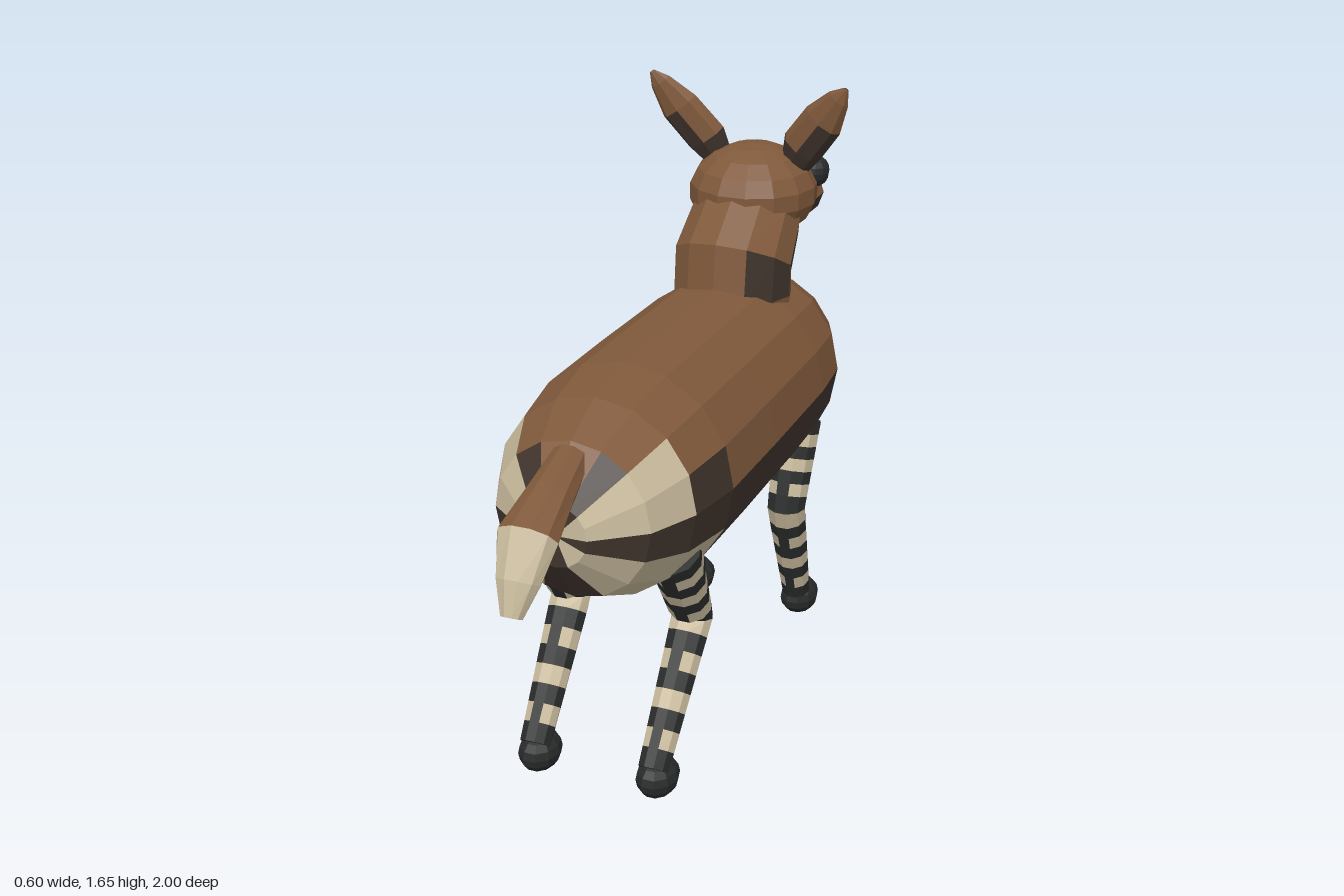
import * as THREE from 'three';

const mat = (name, color) => {
  const m = new THREE.MeshStandardMaterial({ color });
  m.name = name;
  return m;
};

export function createModel() {
  const model = new THREE.Group();
  const mats = [mat('brown', 0x80593b), mat('darkBrown', 0x40342d), mat('cream', 0xc9bb9d), mat('black', 0x2a2b2b)];
  const BROWN = 0, DARK = 1, CREAM = 2, BLACK = 3;

  // Faceted tube through rings [x, y, z, sideRadius, otherRadius]; pick(ring, sector) gives the colour.
  function loft(name, rings, sides, pick, side = [1, 0, 0], axis = null) {
    const centres = rings.map(r => new THREE.Vector3(r[0], r[1], r[2]));
    const pts = rings.map((r, i) => {
      const t = axis ? new THREE.Vector3(...axis)
        : centres[Math.min(i + 1, rings.length - 1)].clone().sub(centres[Math.max(i - 1, 0)]);
      t.normalize();
      const a = new THREE.Vector3(...side);
      a.addScaledVector(t, -a.dot(t)).normalize();
      const b = t.clone().cross(a);
      return Array.from({ length: sides }, (_, j) => {
        const q = j / sides * Math.PI * 2;
        return centres[i].clone().addScaledVector(a, r[3] * Math.cos(q)).addScaledVector(b, (r[4] ?? r[3]) * Math.sin(q));
      });
    });
    const buckets = mats.map(() => []);
    const last = rings.length - 1;
    for (let j = 0; j < sides; j++) {
      const k = (j + 1) % sides;
      for (let i = 0; i < last; i++) {
        const [A, B, C, D] = [pts[i][j], pts[i][k], pts[i + 1][k], pts[i + 1][j]];
        buckets[pick(i, j)].push(A, B, C, A, C, D);
      }
      buckets[pick(0, j)].push(centres[0], pts[0][k], pts[0][j]);
      buckets[pick(last - 1, j)].push(centres[last], pts[last][j], pts[last][k]);
    }
    const geo = new THREE.BufferGeometry().setFromPoints(buckets.flat());
    let start = 0;
    buckets.forEach((b, m) => {
      if (b.length) geo.addGroup(start, b.length, m);
      start += b.length;
    });
    geo.computeVertexNormals();
    const mesh = new THREE.Mesh(geo, mats);
    mesh.name = name;
    model.add(mesh);
  }

  function ball(name, pos, size, colour, w = 12, h = 8) {
    const geo = new THREE.SphereGeometry(1, w, h).scale(...size).toNonIndexed();
    geo.computeVertexNormals();
    const mesh = new THREE.Mesh(geo, mats[colour]);
    mesh.position.set(...pos);
    mesh.name = name;
    model.add(mesh);
    return mesh;
  }

  // Body: barrel along z, with a dark belly and a striped rump
  const barrel = [[-0.8, 0.085], [-0.73, 0.215], [-0.58, 0.278], [-0.4, 0.295], [0, 0.3],
    [0.32, 0.3], [0.5, 0.272], [0.64, 0.21], [0.74, 0.085]];
  loft('body', barrel.map(([z, r]) => [0, 0.82, z, r]), 16, (i, j) => {
    const right = j < 4 || j >= 12;
    let k = right ? j : (23 - j) % 16;
    if (k > 7) k -= 16;                       // -4 at the belly to 3 at the spine
    if (i < 2) return BROWN;
    if (i < 5) return k < (right ? 0 : -2) ? DARK : BROWN;
    if (i === 5) return k > 0 ? BROWN : k === -2 ? CREAM : DARK;
    if (k === 3) return BROWN;
    if (k === 2) return i === 7 ? DARK : BROWN;
    return k === -1 || k === -4 ? DARK : CREAM;
  }, [1, 0, 0], [0, 0, 1]);

  // Neck
  loft('neck', [[0, 1.0, -0.45, 0.165, 0.16], [0, 1.07, -0.45, 0.17, 0.16], [0, 1.16, -0.455, 0.17, 0.165],
    [0, 1.25, -0.55, 0.16, 0.145], [0, 1.33, -0.6, 0.15, 0.13]], 12, (i, j) => {
    if (i === 1 && j >= 10) return DARK;
    if (i === 2 && (j === 0 || j === 1)) return DARK;
    return BROWN;
  });

  // Head and muzzle
  ball('head', [0, 1.32, -0.61], [0.185, 0.137, 0.19], BROWN, 14, 9);
  loft('muzzle', [[0, 1.275, -0.66, 0.12, 0.07], [0, 1.26, -0.76, 0.133, 0.085], [0, 1.255, -0.87, 0.125, 0.09],
    [0, 1.253, -0.94, 0.095, 0.075], [0, 1.257, -0.985, 0.05, 0.042], [0, 1.26, -1.0, 0.02, 0.02]], 12,
  (i, j) => i > 1 || (i === 1 && j < 6) ? DARK : BROWN, [1, 0, 0], [0, 0, -1]);

  // Tail with a pale tip
  loft('tail', [[0, 0.985, 0.64, 0.05, 0.045], [0, 0.935, 0.76, 0.062, 0.05], [0, 0.88, 0.885, 0.08, 0.058],
    [0, 0.79, 0.94, 0.058, 0.045], [0, 0.715, 0.98, 0.028, 0.025]], 10,
  (i, j) => i === 3 || (i === 2 && j < 5) ? CREAM : BROWN);

  // Banded leg running through hip, knee and ankle
  function leg(name, x, hip, knee, ankle) {
    const rings = [];
    const bend = 7, count = 15;
    for (let i = 0; i <= count; i++) {
      const upper = i <= bend;
      const u = upper ? i / bend : (i - bend) / (count - bend);
      const [p, q] = upper ? [hip, knee] : [knee, ankle];
      const mix = n => THREE.MathUtils.lerp(p[n], q[n], u);
      rings.push([x * (0.18 - 0.01 * i / count), mix(0), mix(1), mix(2), mix(3)]);
    }
    loft(name, rings, 10, (i, j) => (i + (j % 5 === 2 && i % 4 === 1 ? 1 : 0)) % 2 ? CREAM : BLACK);
  }

  for (const s of [1, -1]) {
    const sideName = s > 0 ? 'left' : 'right';
    leg(sideName + 'HindLeg', s, [0.67, 0.425, 0.07, 0.075], [0.42, 0.285, 0.057, 0.05], [0.09, 0.54, 0.042, 0.042]);
    leg(sideName + 'ForeLeg', s, [0.67, -0.525, 0.07, 0.062], [0.42, -0.45, 0.057, 0.055], [0.09, -0.575, 0.042, 0.042]);
    ball(sideName + 'HindHoof', [s * 0.17, 0.056, 0.51], [0.056, 0.056, 0.073], BLACK, 10, 8);
    ball(sideName + 'ForeHoof', [s * 0.17, 0.056, -0.607], [0.056, 0.056, 0.073], BLACK, 10, 8);
    ball(sideName + 'Eye', [s * 0.155, 1.365, -0.705], [0.038, 0.044, 0.045], BLACK, 10, 8);

    // Ears: dark inside and at the root, brown behind
    loft(sideName + 'Ear', [[s * 0.11, 1.39, -0.63, 0.04, 0.03], [s * 0.145, 1.46, -0.605, 0.062, 0.038],
      [s * 0.215, 1.55, -0.575, 0.06, 0.034], [s * 0.265, 1.62, -0.553, 0.033, 0.018],
      [s * 0.288, 1.65, -0.545, 0.008, 0.006]], 8,
    (i, j) => i === 0 || j < 4 || (i === 1 && j > 5 === s > 0) ? DARK : BROWN, [0.83, -0.56 * s, 0]);
  }

  return model;
}
